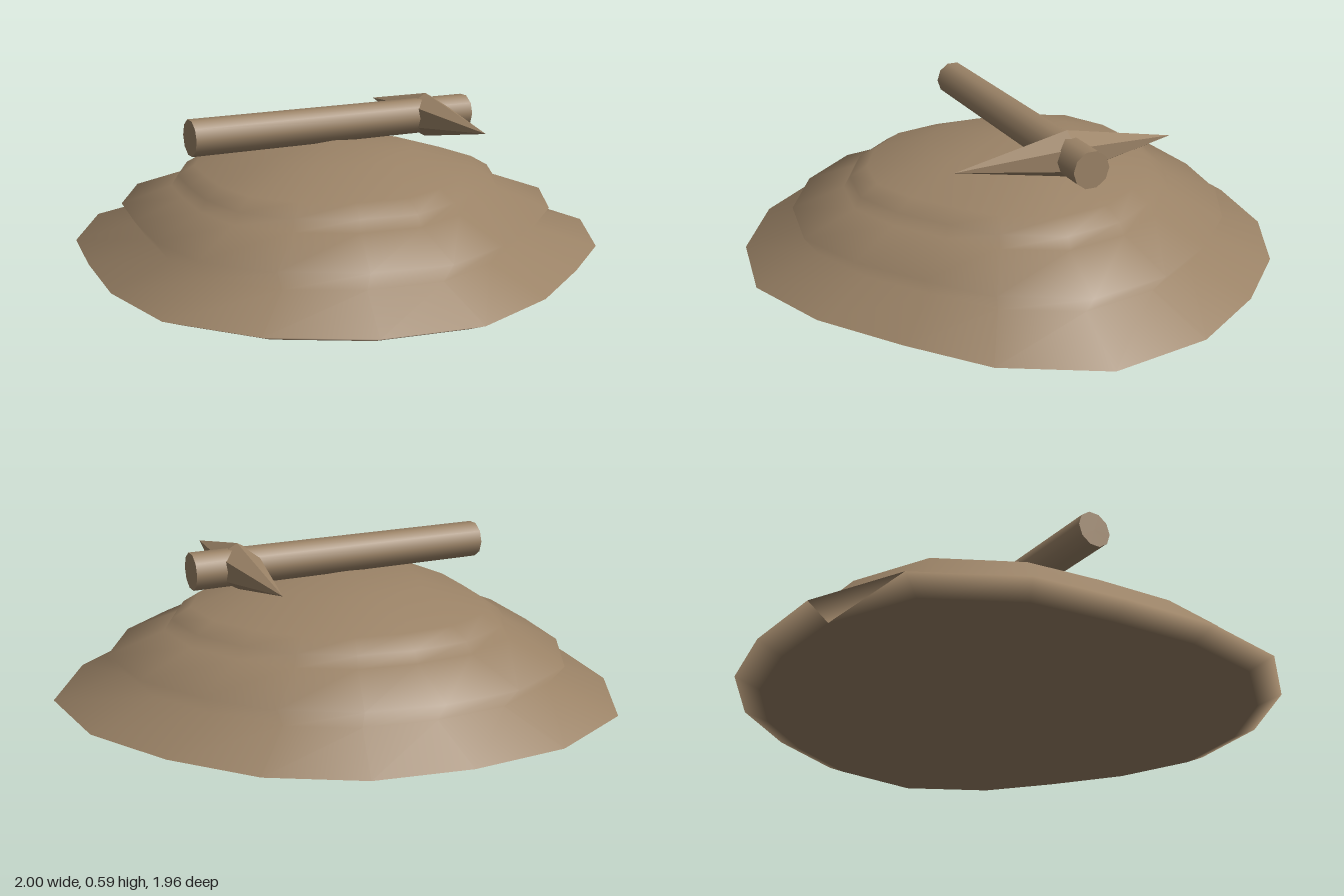
import * as THREE from 'three';

// Half outline of the plinth, [x, z] from back to front
const HALF = [
  [0.17, -0.98], [0.49, -0.87], [0.785, -0.69], [1, -0.395], [1, -0.02],
  [0.88, 0.28], [0.73, 0.59], [0.51, 0.85], [0.18, 0.975],
];
const OUTLINE = [...HALF, ...HALF.map(([x, z]) => [-x, z]).reverse()];

// Stacked sections, [scale, y]; a final scale of 0 closes the dome
const SECTIONS = [
  [0.91, 0], [1, 0.04], [0.76, 0.115], [0.815, 0.19], [0.62, 0.265],
  [0.595, 0.305], [0.53, 0.345], [0.3, 0.42], [0, 0.45],
];

function loft(outline, sections) {
  const pos = [], index = [], n = outline.length;
  for (const [s, y] of sections) for (const [x, z] of outline) pos.push(x * s, y, z * s);
  for (let r = 0; r < sections.length - 1; r++) {
    for (let i = 0; i < n; i++) {
      const a = r * n + i, b = r * n + (i + 1) % n;
      index.push(b, a, a + n);
      if (sections[r + 1][0] > 0) index.push(b, a + n, b + n);
    }
  }
  const geo = new THREE.BufferGeometry();
  geo.setAttribute('position', new THREE.Float32BufferAttribute(pos, 3));
  geo.setIndex(index);
  geo.computeVertexNormals();
  // the shared tip points straight up
  for (let i = pos.length / 3 - n; i < pos.length / 3; i++) geo.attributes.normal.setXYZ(i, 0, 1, 0);
  return geo;
}

export function createModel() {
  const model = new THREE.Group();
  const bronze = new THREE.MeshStandardMaterial({ color: 0x9a8266 });
  const add = (parent, name, geo) => {
    const mesh = new THREE.Mesh(geo, bronze);
    mesh.name = name;
    parent.add(mesh);
    return mesh;
  };

  // Stepped plinth with domed top
  add(model, 'domedBase', loft(OUTLINE, SECTIONS));

  // Flat underside
  const shape = new THREE.Shape(OUTLINE.map(([x, z]) => new THREE.Vector2(x * 0.91, z * 0.91)));
  add(model, 'underside', new THREE.ShapeGeometry(shape).rotateX(Math.PI / 2));

  // Rod with crossguard, lying on the dome; local x runs along the rod
  const rod = new THREE.Group();
  rod.name = 'rodWithCrossguard';
  rod.position.set(0, 0.506, -0.028);
  rod.rotation.y = Math.atan2(0.564, 1);
  model.add(rod);

  add(rod, 'shaft', new THREE.CylinderGeometry(0.068, 0.068, 1.15, 10).rotateZ(Math.PI / 2));

  // Crossguard: two long spikes meeting at a waist
  for (const side of [1, -1]) {
    const spike = new THREE.ConeGeometry(0.085, 0.42, 6, 1, true)
      .translate(0, 0.21, 0)
      .rotateX(side * Math.PI / 2)
      .toNonIndexed();
    spike.computeVertexNormals();
    add(rod, side > 0 ? 'frontSpike' : 'backSpike', spike).position.x = 0.4;
  }
  return model;
}
